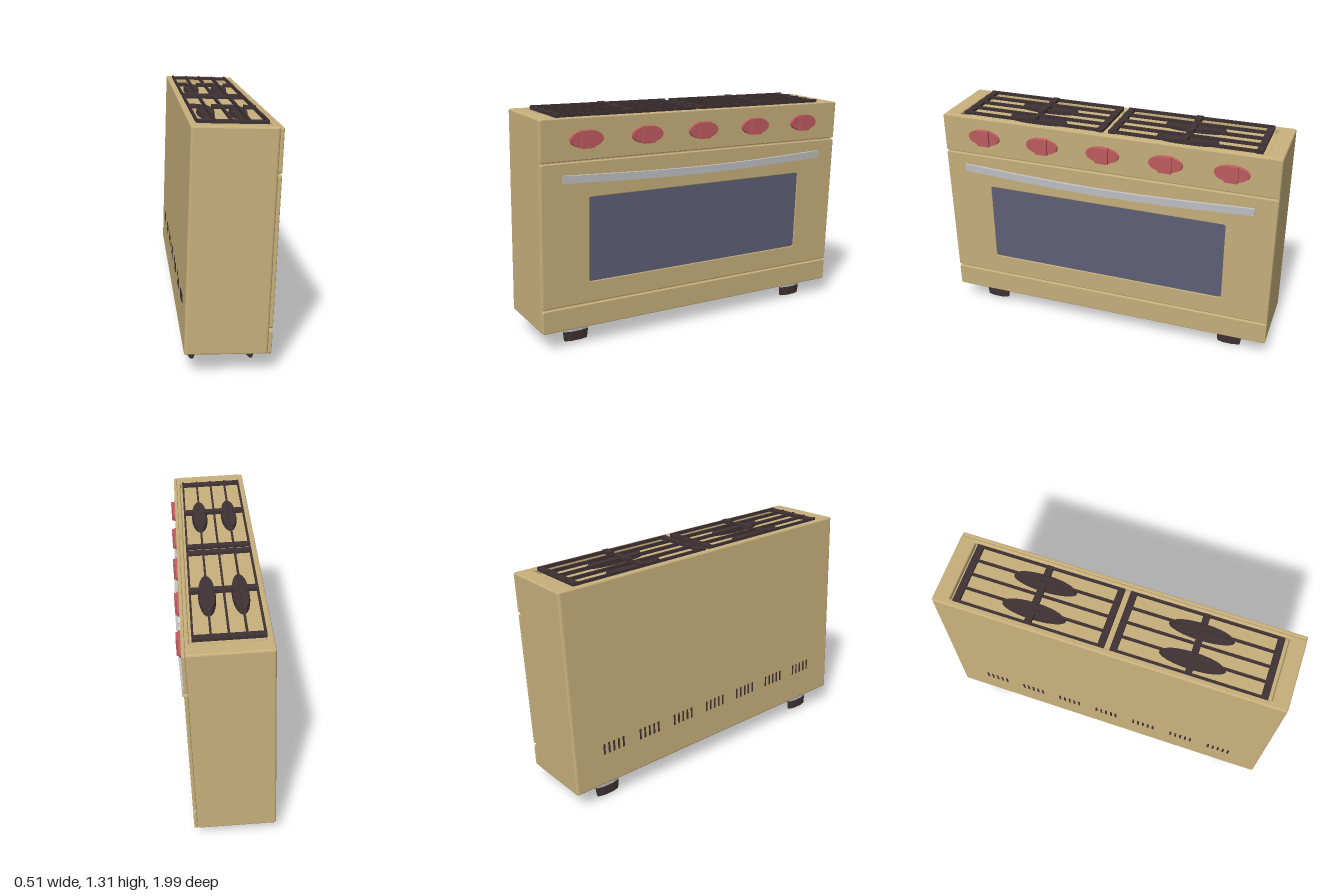
import * as THREE from 'three';

const mat = (name, color) => Object.assign(new THREE.MeshStandardMaterial({ color }), { name });

// Rounded rectangle, centred on (cx, cy)
function roundRect(Type, cx, cy, w, h, r) {
  const s = new Type(), a = w / 2 - r, b = h / 2 - r;
  s.absarc(cx + a, cy + b, r, 0, Math.PI / 2);
  s.absarc(cx - a, cy + b, r, Math.PI / 2, Math.PI);
  s.absarc(cx - a, cy - b, r, Math.PI, Math.PI * 1.5);
  s.absarc(cx + a, cy - b, r, Math.PI * 1.5, Math.PI * 2);
  s.closePath();
  return s;
}

function extrude(shape, depth, bevel) {
  const g = new THREE.ExtrudeGeometry(shape, {
    depth: depth - 2 * bevel, bevelEnabled: true, bevelSize: bevel, bevelThickness: bevel,
    bevelOffset: -bevel, bevelSegments: 2, curveSegments: 4,
  });
  return g.translate(0, 0, bevel);
}

export function createModel() {
  const enamel = mat('cream enamel', 0xc8b07c);
  const red = mat('red knob', 0xc05c60);
  const steel = mat('steel', 0xc0c1c4);
  const iron = mat('dark iron', 0x3f3234);
  const glass = mat('oven glass', 0x5f6078);

  const stove = new THREE.Group();
  stove.name = 'stove';
  const add = (name, geo, material, x = 0, y = 0, z = 0, parent = stove) => {
    const m = new THREE.Mesh(geo, material);
    m.name = name;
    m.position.set(x, y, z);
    parent.add(m);
    return m;
  };
  const box = (name, material, x, y, z, w, h, d, parent) =>
    add(name, new THREE.BoxGeometry(w, h, d), material, x, y, z, parent);

  // Cabinet shell, with a sunken cooktop and a bottom plate
  const shell = roundRect(THREE.Shape, -0.02, 0, 0.43, 1.984, 0.014);
  shell.holes.push(roundRect(THREE.Path, -0.012, 0, 0.37, 1.8, 0.01));
  add('cabinet', extrude(shell, 1.17, 0.008).rotateX(-Math.PI / 2), enamel, 0, 0.107, 0);
  box('cooktop', enamel, -0.012, 1.235, 0, 0.39, 0.02, 1.82);
  box('bottomPlate', enamel, -0.012, 0.12, 0, 0.39, 0.02, 1.82);

  // Front panels, standing slightly proud of the cabinet
  const panel = (name, y0, y1, hole) => {
    const s = roundRect(THREE.Shape, 0, (y0 + y1) / 2, 1.984, y1 - y0, 0.012);
    if (hole) s.holes.push(hole);
    add(name, extrude(s, 0.019, 0.005).rotateY(Math.PI / 2), enamel, 0.194, 0, 0);
  };
  panel('controlPanel', 1.05, 1.277);
  panel('ovenDoor', 0.248, 1.043, roundRect(THREE.Path, 0, 0.608, 1.43, 0.475, 0.012));
  panel('drawer', 0.107, 0.239);
  box('ovenWindow', glass, 0.205, 0.608, 0, 0.008, 0.485, 1.44);

  // Oval knobs with a raised grip
  for (let i = -2; i <= 2; i++) {
    const knob = new THREE.Group();
    knob.name = 'knob';
    knob.position.set(0.211, 1.163, i * 0.366);
    stove.add(knob);
    const disc = new THREE.CylinderGeometry(0.95, 1, 0.014, 24).rotateZ(-Math.PI / 2).scale(1, 0.05, 0.1);
    add('knobDisc', disc, red, 0.007, 0, 0, knob);
    box('knobGrip', red, 0.013, 0, 0, 0.028, 0.094, 0.074, knob);
  }

  // Bowed handle bar: bends outward and slightly down in the middle
  const bar = new THREE.BoxGeometry(0.016, 0.042, 1.74, 1, 1, 16);
  const p = bar.attributes.position;
  for (let i = 0; i < p.count; i++) {
    const bow = Math.cos((p.getZ(i) / 0.87) * Math.PI / 2);
    p.setX(i, p.getX(i) + 0.022 * bow);
    p.setY(i, p.getY(i) - 0.018 * bow);
  }
  bar.computeVertexNormals();
  add('handle', bar, steel, 0.216, 0.957, 0);

  // Two grates, each over a pair of burners
  for (const side of [-1, 1]) {
    const grate = new THREE.Group();
    grate.name = 'grate';
    grate.position.set(-0.022, 0, side * 0.447);
    stove.add(grate);
    for (let i = -2; i <= 2; i++)
      box('grateBar', iron, i * 0.088, 1.283, 0, 0.011, 0.018, 0.86, grate);
    for (const z of [-0.412, 0.412])
      box('grateEnd', iron, 0, 1.279, z, 0.362, 0.016, 0.038, grate);
    for (const [x, w] of [[-0.148, 0.066], [0, 0.114], [0.148, 0.066]])
      box('grateCross', iron, x, 1.287, 0, w, 0.02, 0.038, grate);
    for (const x of [-0.088, 0.088]) {
      const cap = new THREE.CylinderGeometry(0.92, 1, 0.028, 24).scale(0.047, 1, 0.185);
      add('burner', cap, iron, x, 1.258, 0, grate);
    }
  }

  // Tapered feet with dark pads
  const octagon = (top, bottom, h) => new THREE.CylinderGeometry(top, bottom, h, 8, 1, false, Math.PI / 8)
    .toNonIndexed().scale(0.0225, 1, 0.083);
  for (const x of [-0.18, 0.135]) for (const z of [-0.767, 0.767]) {
    const foot = new THREE.Group();
    foot.name = 'foot';
    foot.position.set(x, 0, z);
    stove.add(foot);
    for (const [name, m, a, b, y, h] of [['footCollar', steel, 1.04, 0.97, 0.091, 0.046], ['footPad', iron, 0.96, 0.88, 0.04, 0.056]]) {
      const g = octagon(a, b, h);
      g.computeVertexNormals();
      add(name, g, m, 0, y, 0, foot);
    }
  }

  // Rear vent slots in groups
  for (let g = -3; g <= 3; g++) for (let i = -2; i <= 2; i++)
    box('ventSlot', iron, -0.234, 0.325, g * 0.245 + i * 0.032, 0.004, 0.065, 0.012);

  // Slight overall lean, pivoting about the middle of the body
  stove.position.y = -0.69;
  const lean = new THREE.Group();
  lean.name = 'leaningStove';
  lean.position.y = 0.69;
  lean.rotation.set(-0.008, 0, -0.038);
  lean.add(stove);
  const model = new THREE.Group();
  model.name = 'model';
  model.add(lean);
  return model;
}
